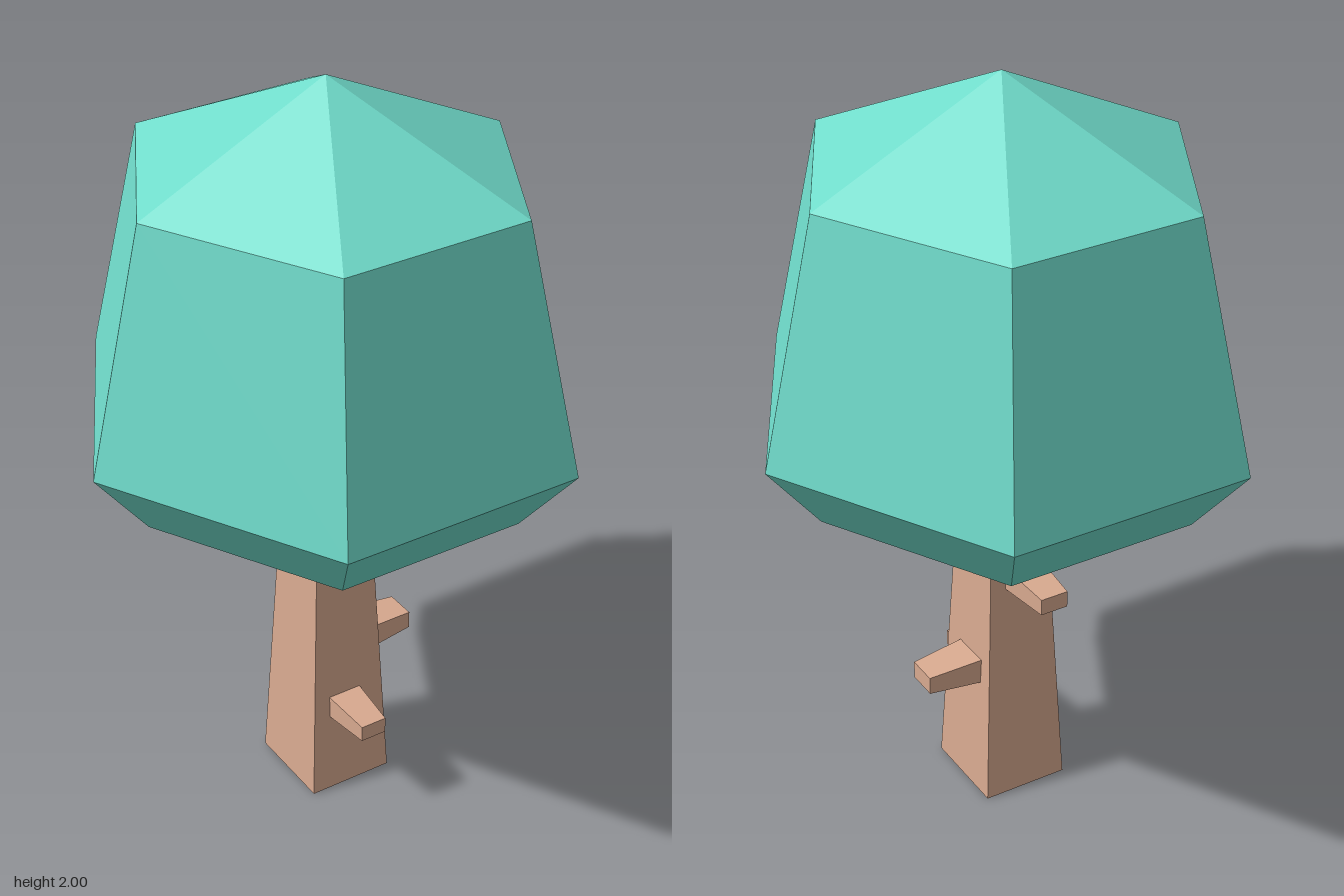
import * as THREE from 'three';

const material = (color) => new THREE.MeshStandardMaterial({ color, flatShading: true });

// Box running along +z from z0 to z1, scaled by `taper` at its far end
function taperedBox(width, height, z0, z1, taperX, taperY) {
  const geometry = new THREE.BoxGeometry(width, height, z1 - z0);
  geometry.translate(0, 0, (z0 + z1) / 2);
  const p = geometry.attributes.position;
  for (let i = 0; i < p.count; i++) {
    if (p.getZ(i) > (z0 + z1) / 2) p.setXY(i, p.getX(i) * taperX, p.getY(i) * taperY);
  }
  geometry.computeVertexNormals();
  return geometry;
}

export function createModel() {
  const tree = new THREE.Group();
  tree.name = 'tree';
  const wood = material(0xd9aa90);
  const leaves = material(0x70dccb);

  const add = (name, geometry, mat) => {
    const mesh = new THREE.Mesh(geometry, mat);
    mesh.name = name;
    tree.add(mesh);
    return mesh;
  };

  // Square trunk, narrowing upwards
  const trunk = taperedBox(0.234, 0.25, 0, 0.94, 0.64, 0.64);
  trunk.rotateX(-Math.PI / 2);
  add('trunk', trunk, wood);

  // Four stubby branches, one per side of the trunk
  const branches = [
    { name: 'frontBranch', turn: 0, at: [-0.012, 0.262, 0], w: 0.095, h: 0.065, z0: 0.1, z1: 0.25 },
    { name: 'leftBranch', turn: 1, at: [0, 0.375, -0.01], w: 0.11, h: 0.072, z0: 0.09, z1: 0.245 },
    { name: 'backBranch', turn: 2, at: [-0.005, 0.665, 0], w: 0.1, h: 0.066, z0: 0.08, z1: 0.25 },
    { name: 'rightBranch', turn: 3, at: [0, 0.83, 0], w: 0.09, h: 0.06, z0: 0.07, z1: 0.21 },
  ];
  for (const b of branches) {
    const branch = add(b.name, taperedBox(b.w, b.h, b.z0, b.z1, 0.76, 0.68), wood);
    branch.position.set(...b.at);
    branch.rotation.y = b.turn * Math.PI / 2;
  }

  // Six-sided crown with a corner on each side, slightly deeper than regular
  const profile = [[0, 0.94], [0.507, 0.94], [0.647, 1.12], [0.5, 1.76], [0, 2]]
    .map(([r, y]) => new THREE.Vector2(r, y));
  const crown = new THREE.LatheGeometry(profile, 6, Math.PI / 2);
  crown.scale(1, 1, 1.07);
  add('crown', crown, leaves);

  return tree;
}
